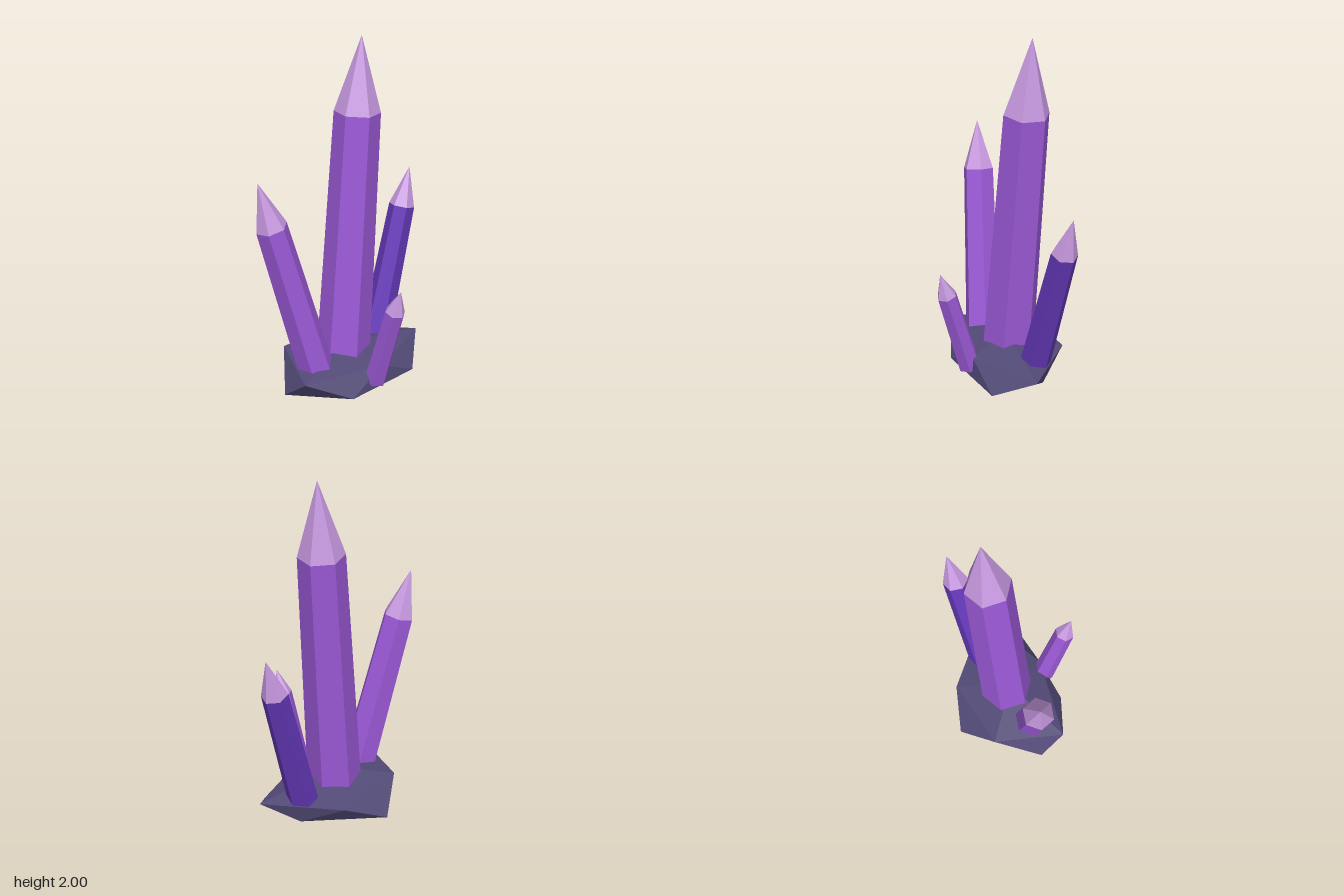
import * as THREE from 'three';

const flat = (name, color) => {
  const m = new THREE.MeshStandardMaterial({ color, flatShading: true });
  m.name = name;
  return m;
};

// Tapered six-sided prism with a pointed cap, running from base to tip
function crystal(name, { base, tip, shoulderY, rBase, rTop, spin }, bodyMat, tipMat) {
  const from = new THREE.Vector3(...base);
  const axis = new THREE.Vector3(...tip).sub(from);
  const length = axis.length();
  const bodyLength = length * (shoulderY - base[1]) / (tip[1] - base[1]);
  const tipLength = length - bodyLength;

  const body = new THREE.Mesh(
    new THREE.CylinderGeometry(rTop, rBase, bodyLength, 6).translate(0, bodyLength / 2, 0).rotateY(spin), bodyMat);
  body.name = name + 'Body';
  const point = new THREE.Mesh(
    new THREE.ConeGeometry(rTop, tipLength, 6, 1, true).translate(0, bodyLength + tipLength / 2, 0).rotateY(spin), tipMat);
  point.name = name + 'Tip';

  const group = new THREE.Group();
  group.name = name;
  group.add(body, point);
  group.position.copy(from);
  group.quaternion.setFromUnitVectors(new THREE.Vector3(0, 1, 0), axis.normalize());
  return group;
}

// Faceted rock: two staggered five-point rings, a raised middle and a flat underside
function rockGeometry() {
  const upper = [[0.5, 0.13, -0.05], [0.118, 0.11, -0.345], [-0.305, 0.15, -0.23], [-0.385, 0.13, 0.185], [0.11, 0.12, 0.2]];
  const lower = [[0.3, 0, -0.16], [-0.135, 0, -0.4], [-0.435, 0, 0.03], [-0.12, 0, 0.265], [0.345, 0, 0.16]];
  const top = [0, 0.2, -0.03], bottom = [0, 0, 0];
  const corners = [];
  for (let i = 0; i < 5; i++) {
    const j = (i + 1) % 5;
    corners.push(top, upper[i], upper[j]);
    corners.push(upper[i], lower[i], upper[j]);
    corners.push(lower[i], lower[j], upper[j]);
    corners.push(bottom, lower[j], lower[i]);
  }
  const g = new THREE.BufferGeometry();
  g.setAttribute('position', new THREE.Float32BufferAttribute(corners.flat(), 3));
  g.computeVertexNormals();
  return g;
}

export function createModel() {
  const rockMat = flat('slate rock', 0x524a76);
  const purple = flat('amethyst purple', 0x9b59d6);
  const deep = flat('deep violet', 0x6538b8);
  const pale = flat('pale lilac', 0xc799e0);

  const model = new THREE.Group();
  model.name = 'crystalCluster';

  const rock = new THREE.Mesh(rockGeometry(), rockMat);
  rock.name = 'rockBase';
  model.add(rock);

  model.add(
    crystal('mainCrystal', {
      base: [-0.009, 0.05, -0.051], tip: [0.155, 2, -0.125], shoulderY: 1.575, rBase: 0.157, rTop: 0.13, spin: 0
    }, purple, pale),
    crystal('rightCrystal', {
      base: [-0.215, 0.05, 0.036], tip: [-0.535, 1.315, -0.035], shoulderY: 1.045, rBase: 0.107, rTop: 0.09, spin: 0.4
    }, purple, pale),
    crystal('leftCrystal', {
      base: [0.241, 0.05, -0.118], tip: [0.543, 1.12, -0.225], shoulderY: 0.895, rBase: 0.091, rTop: 0.075, spin: 0.87
    }, deep, pale),
    crystal('frontCrystal', {
      base: [0.06, 0.045, 0.205], tip: [0.111, 0.685, 0.383], shoulderY: 0.545, rBase: 0.066, rTop: 0.058, spin: 0.28
    }, purple, pale)
  );
  return model;
}
